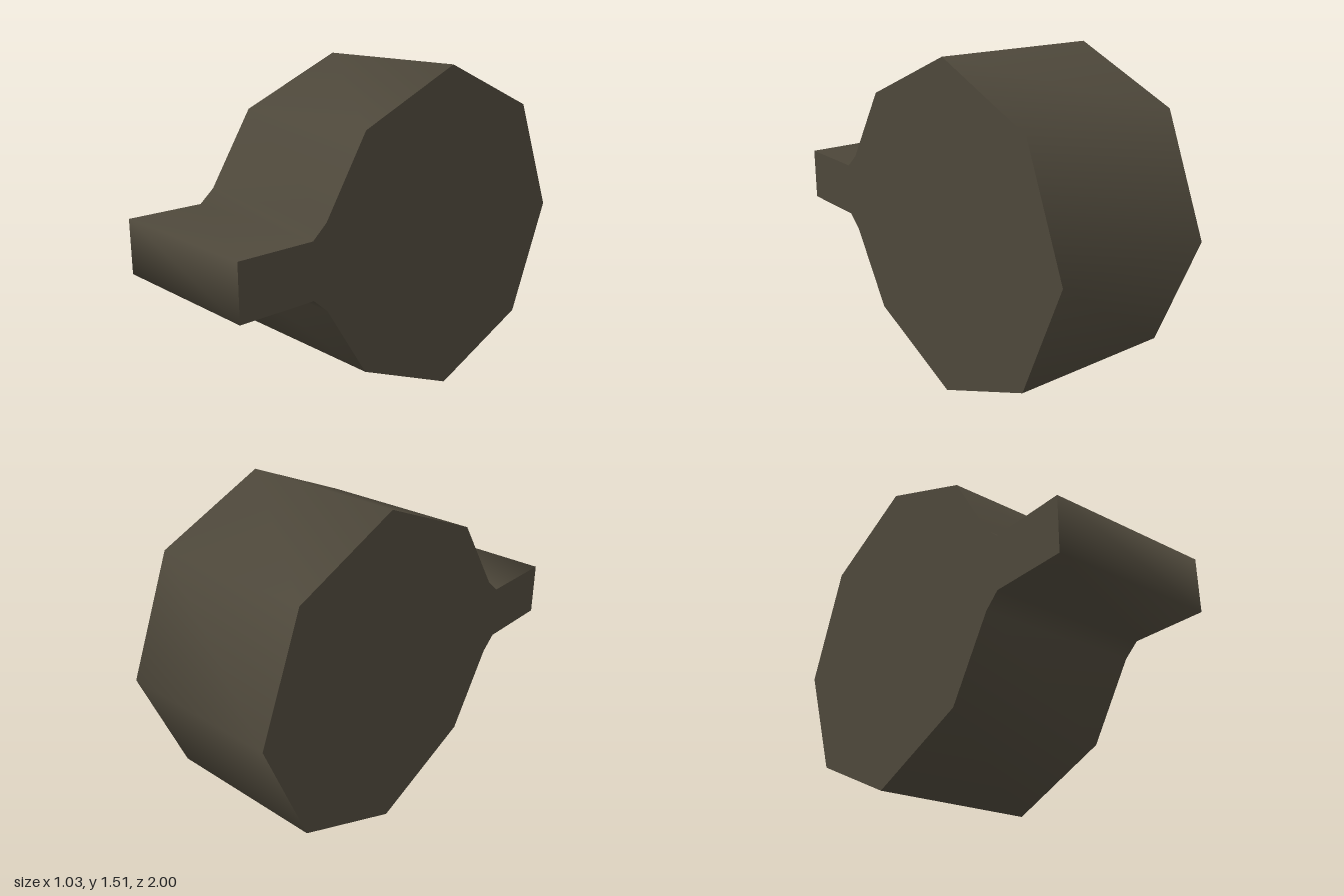
import * as THREE from 'three';

export function createModel() {
  const group = new THREE.Group();
  group.name = 'wedgeBlock';
  const brown = new THREE.MeshStandardMaterial({ color: 0x4d473a });
  brown.name = 'dark olive brown';

  const half = 0.393; // half the width of the block
  const mid = 0.755;  // height of the symmetry line

  // Upper half of the side profile, from the back point to the tip of the tab
  const upper = [
    [0.741, 0.53], [0.217, 0.755], [-0.308, 0.53],
    [-0.524, 0.187], [-0.595, 0.125], [-0.958, 0.125],
  ];
  const profile = [
    [0.958, 0], ...upper,
    ...upper.map(([x, y]) => [x, -y]).reverse(),
  ].map(([x, y]) => new THREE.Vector2(x, y));

  // Rim: smooth-shaded band around the profile
  const pos = [], index = [], n = profile.length;
  profile.forEach((p, i) => {
    pos.push(p.x, p.y, half, p.x, p.y, -half);
    const a = 2 * i, b = 2 * ((i + 1) % n);
    index.push(a, a + 1, b, b, a + 1, b + 1);
  });
  const rimGeo = new THREE.BufferGeometry();
  rimGeo.setAttribute('position', new THREE.Float32BufferAttribute(pos, 3));
  rimGeo.setIndex(index);
  rimGeo.computeVertexNormals();

  // Flat side faces; the profile is symmetric, so half a turn gives the other one
  const leftGeo = new THREE.ShapeGeometry(new THREE.Shape(profile)).translate(0, 0, half);
  const rightGeo = leftGeo.clone().rotateX(Math.PI);

  const parts = { rim: rimGeo, leftFace: leftGeo, rightFace: rightGeo };
  for (const [name, geo] of Object.entries(parts)) {
    geo.rotateY(Math.PI / 2);
    const mesh = new THREE.Mesh(geo, brown);
    mesh.name = name;
    mesh.position.y = mid;
    mesh.rotation.y = -0.13; // the block stands slightly turned
    group.add(mesh);
  }
  return group;
}
